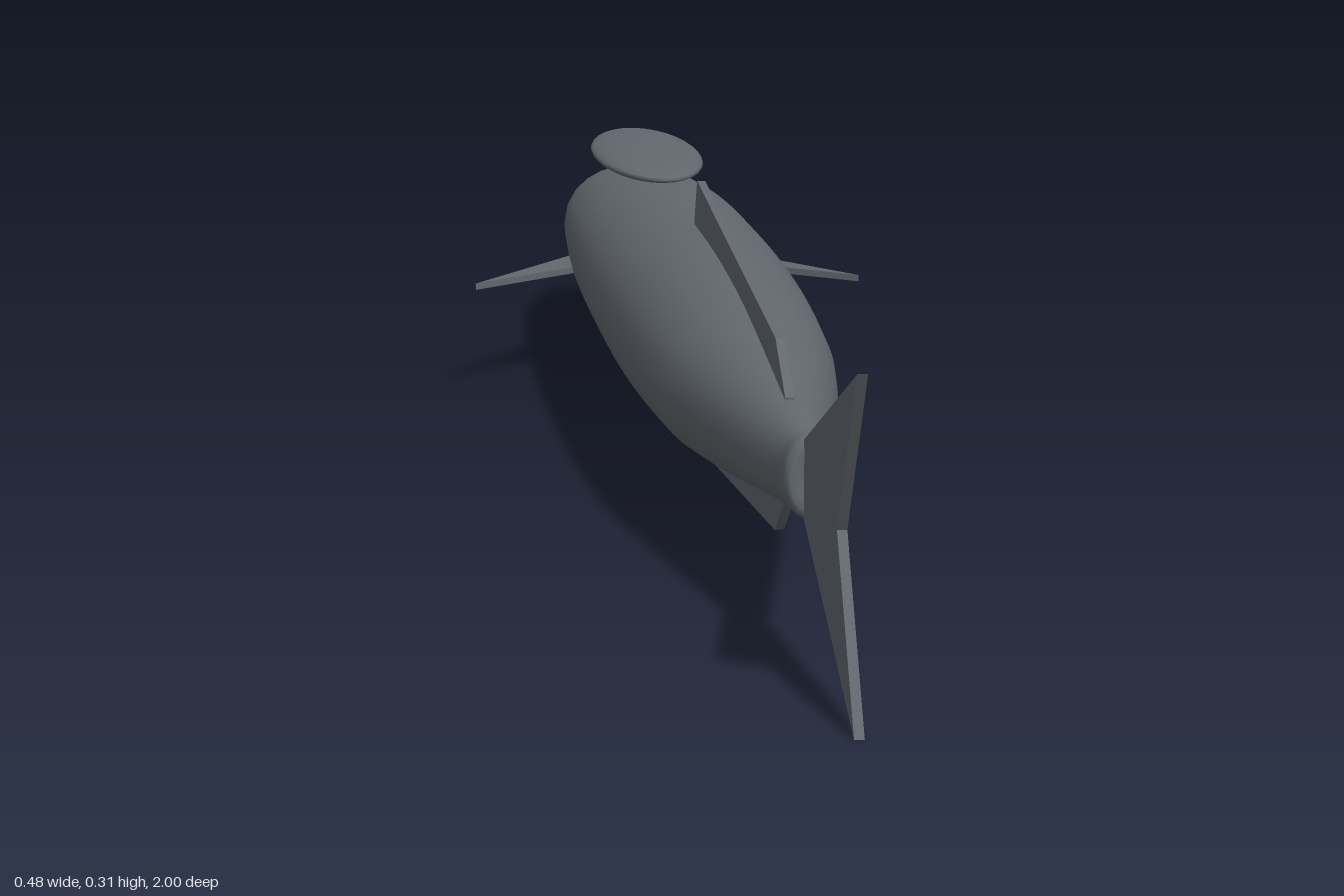
import * as THREE from 'three';
import { ParametricGeometry } from 'three/addons/geometries/ParametricGeometry.js';

const MID = 0.157; // height of the body axis
const material = new THREE.MeshStandardMaterial({ color: 0x62686e, side: THREE.DoubleSide });

function addMesh(group, name, geometry) {
  const mesh = new THREE.Mesh(geometry, material);
  mesh.name = name;
  group.add(mesh);
  return mesh;
}

// Thin flat plate cut from an outline, centred on its own plane
function plate(points, thickness = 0.009) {
  const shape = new THREE.Shape(points.map(([a, b]) => new THREE.Vector2(a, b)));
  const geometry = new THREE.ExtrudeGeometry(shape, { depth: thickness, bevelEnabled: false });
  return geometry.translate(0, 0, -thickness / 2);
}

// Upright fin from [z, height above axis] points
function uprightFin(points) {
  return plate(points.map(([z, h]) => [-z, h])).rotateY(Math.PI / 2).translate(0, MID, 0);
}

export function createModel() {
  const fish = new THREE.Group();
  fish.name = 'fish';

  // Body sections: half width, half height, z
  const sections = [
    [0.002, 0.002, -1], [0.018, 0.016, -0.975], [0.046, 0.036, -0.93],
    [0.078, 0.056, -0.87], [0.094, 0.067, -0.8], [0.105, 0.079, -0.69],
    [0.113, 0.09, -0.53], [0.116, 0.097, -0.33], [0.114, 0.1, -0.1],
    [0.107, 0.098, 0.1], [0.095, 0.087, 0.29], [0.073, 0.07, 0.44],
    [0.045, 0.05, 0.59], [0.025, 0.038, 0.69], [0.021, 0.036, 0.72],
    [0.001, 0.001, 0.722],
  ].map((s) => new THREE.Vector3(...s));
  const spine = new THREE.CatmullRomCurve3(sections, false, 'centripetal');
  const p = new THREE.Vector3();
  const body = new ParametricGeometry((u, v, target) => {
    spine.getPoint(v, p);
    const a = u * Math.PI * 2;
    target.set(p.x * Math.cos(a), MID + p.y * Math.sin(a), p.z);
  }, 24, 60);
  addMesh(fish, 'body', body);

  // Oval suction disc on top of the head
  const disc = addMesh(fish, 'suctionDisc', new THREE.SphereGeometry(1, 32, 16));
  disc.scale.set(0.069, 0.0145, 0.236);
  disc.position.set(0, 0.2575, -0.664);

  // Long dorsal and anal fins mirror each other
  const longFin = [[-0.11, 0.08], [-0.1, 0.105], [-0.075, 0.153], [0.54, 0.094], [0.605, 0.05], [0.605, 0.03]];
  addMesh(fish, 'dorsalFin', uprightFin(longFin));
  addMesh(fish, 'analFin', uprightFin(longFin.map(([z, h]) => [z, -h])));

  // Forked tail
  addMesh(fish, 'tailFin', uprightFin([
    [0.7, 0.032], [0.72, 0.036], [1, 0.155], [0.905, 0], [1, -0.155], [0.72, -0.036], [0.7, -0.032],
  ]));

  // Swept pectoral fins
  for (const [name, side] of [['leftPectoralFin', 1], ['rightPectoralFin', -1]]) {
    const outline = [[0.08, -0.63], [0.238, -0.405], [0.08, -0.53]];
    const fin = plate(outline.map(([x, z]) => [side * x, z]), 0.008);
    addMesh(fish, name, fin.rotateX(Math.PI / 2).translate(0, 0.134, 0));
  }

  return fish;
}
